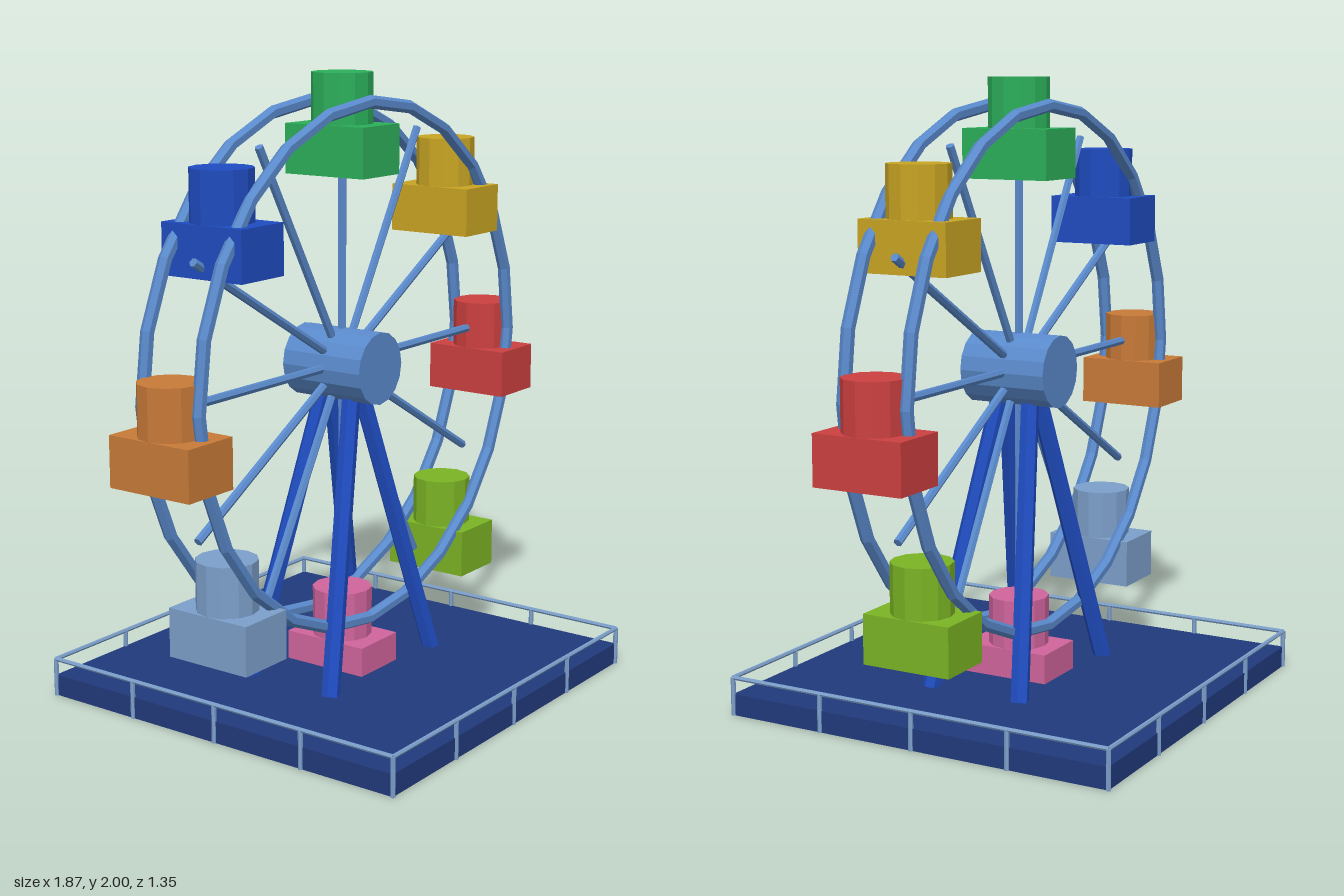
import * as THREE from 'three';

const HUB_Y = 1.075, WHEEL_R = 0.838, BASE = 0.665;

function material(name, color) {
  const m = new THREE.MeshStandardMaterial({ color });
  m.name = name;
  m.flatShading = true;
  return m;
}

function add(parent, name, geometry, mat, x = 0, y = 0, z = 0) {
  const mesh = new THREE.Mesh(geometry, mat);
  mesh.name = name;
  mesh.position.set(x, y, z);
  parent.add(mesh);
  return mesh;
}

// Straight round bar between two points
function bar(parent, name, a, b, radius, sides, mat) {
  const from = new THREE.Vector3(...a), to = new THREE.Vector3(...b);
  const dir = to.clone().sub(from);
  const mesh = add(parent, name, new THREE.CylinderGeometry(radius, radius, dir.length(), sides), mat);
  mesh.position.copy(from).add(to).multiplyScalar(0.5);
  mesh.quaternion.setFromUnitVectors(new THREE.Vector3(0, 1, 0), dir.normalize());
  return mesh;
}

function group(parent, name) {
  const g = new THREE.Group();
  g.name = name;
  parent.add(g);
  return g;
}

export function createModel() {
  const model = new THREE.Group();
  model.name = 'ferrisWheel';

  const steel = material('steelBlue', 0x5a8acc);
  const navy = material('navy', 0x213a7c);
  const blue = material('royalBlue', 0x1f4cc0);
  const paleBlue = material('paleBlue', 0x7c9fca);
  // Cabin colours, counter-clockwise from the model's left (+x)
  const cabinColours = [
    material('red', 0xcc4040), material('yellow', 0xc8a423),
    material('green', 0x2caf5a), blue,
    material('orange', 0xc87a38), paleBlue,
    material('pink', 0xd0649c), material('lime', 0x7ab324),
  ];

  // Platform
  add(model, 'platform', new THREE.BoxGeometry(BASE * 2, 0.07, BASE * 2), navy, 0, 0.035, 0);

  // Railing: four sides, each with a top rail and three posts
  const railing = group(model, 'railing');
  for (let side = 0; side < 4; side++) {
    const run = group(railing, 'railingSide');
    run.rotation.y = side * Math.PI / 2;
    bar(run, 'topRail', [-BASE, 0.124, BASE], [BASE, 0.124, BASE], 0.007, 6, paleBlue);
    for (let i = 0; i < 4; i++) {
      const x = -BASE + i * BASE / 2;
      bar(run, 'railPost', [x, 0, BASE], [x, 0.124, BASE], 0.008, 6, paleBlue);
    }
  }

  // Splayed support legs
  const legs = group(model, 'supportLegs');
  for (const sx of [-1, 1]) for (const sz of [-1, 1]) {
    bar(legs, 'leg', [0, HUB_Y, sz * 0.045], [sx * 0.285, 0.065, sz * 0.163], 0.03, 6, blue);
  }

  // Hub, spokes and the two rims
  const wheel = group(model, 'wheel');
  wheel.position.y = HUB_Y;
  const hub = add(wheel, 'hub', new THREE.CylinderGeometry(0.117, 0.117, 0.3, 16), steel);
  hub.rotation.x = Math.PI / 2;
  for (let i = 0; i < 12; i++) {
    const a = i * Math.PI / 6;
    bar(wheel, 'spoke', [0, 0, 0], [Math.cos(a) * WHEEL_R, Math.sin(a) * WHEEL_R, 0], 0.014, 6, steel);
  }
  for (const z of [-0.107, 0.107]) {
    add(wheel, 'rim', new THREE.TorusGeometry(WHEEL_R, 0.021, 6, 24), steel, 0, 0, z);
  }

  // Cabins stay upright around the rim
  const boxGeo = new THREE.BoxGeometry(0.196, 0.158, 0.3);
  const drumGeo = new THREE.CylinderGeometry(0.098, 0.098, 0.16, 12);
  cabinColours.forEach((mat, i) => {
    const a = i * Math.PI / 4;
    const cabin = group(wheel, 'cabin');
    cabin.position.set(Math.cos(a) * WHEEL_R, Math.sin(a) * WHEEL_R - 0.071, 0);
    add(cabin, 'cabinBox', boxGeo, mat, 0, -0.079, 0);
    add(cabin, 'cabinDrum', drumGeo, mat, 0, 0.08, 0);
  });

  return model;
}
